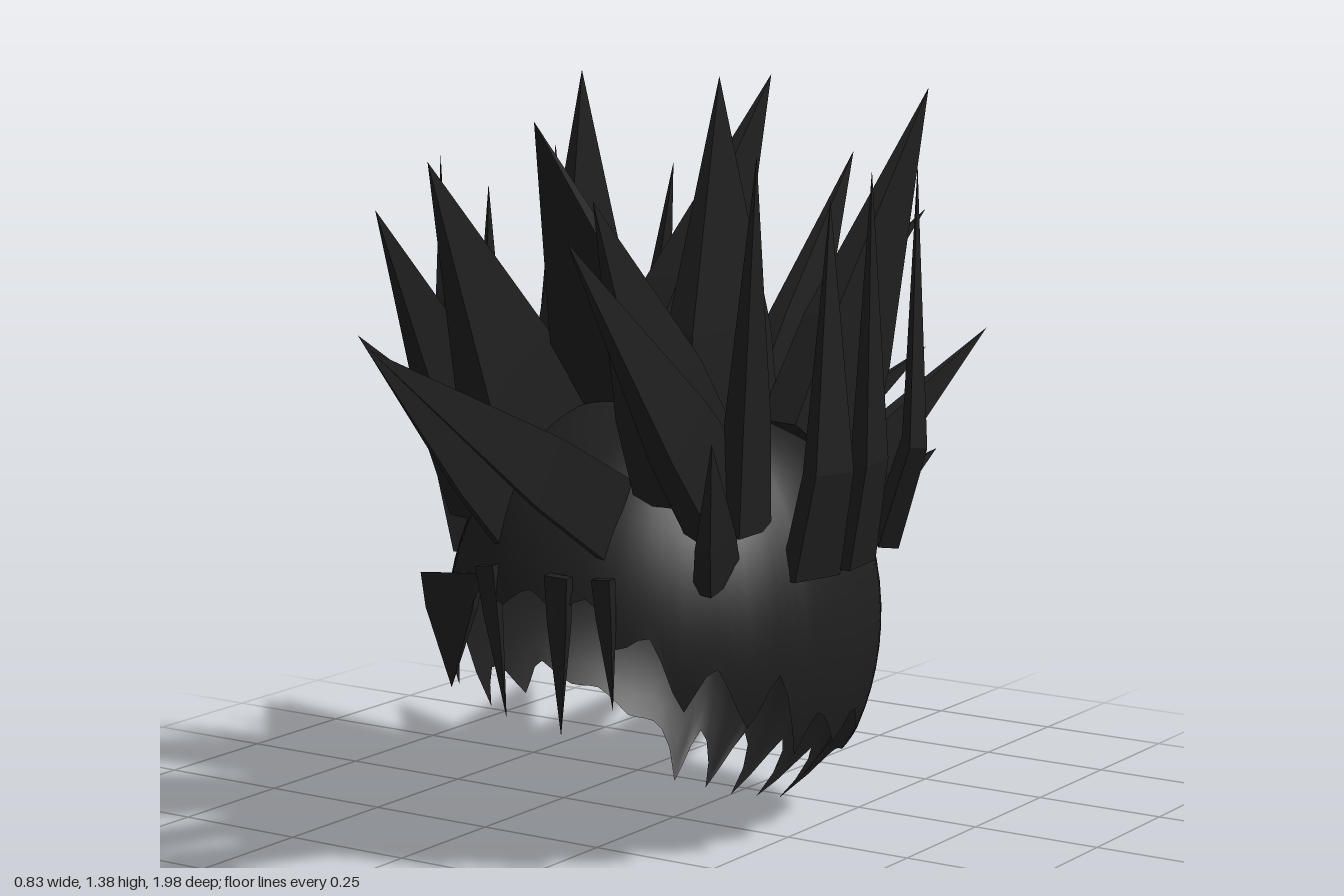
import * as THREE from 'three';

const hair = new THREE.MeshStandardMaterial({ color: 0x1f1f1f, side: THREE.DoubleSide });
const V = (p) => new THREE.Vector3(...p);

// Tapered flat lock: rectangular sections along base -> mid -> tip.
// 'wide' is the direction of the broad side, w its width, t its thickness.
function lock(base, tip, wide, w, t, mid) {
  const b = V(base), e = V(tip);
  const m = mid ? V(mid) : b.clone().lerp(e, 0.3);
  const dir = e.clone().sub(b).normalize();
  const u = V(wide).addScaledVector(dir, -V(wide).dot(dir)).normalize();
  const n = new THREE.Vector3().crossVectors(dir, u);
  const ring = (c, k) => [[-1, -1], [1, -1], [1, 1], [-1, 1]].map(([i, j]) =>
    c.clone().addScaledVector(u, i * w * k / 2).addScaledVector(n, j * t * k / 2));
  const r0 = ring(b, 0.95), r1 = ring(m, 0.8), pos = [];
  const tri = (...ps) => ps.forEach((p) => pos.push(p.x, p.y, p.z));
  for (let i = 0; i < 4; i++) {
    const j = (i + 1) % 4;
    tri(r0[i], r0[j], r1[j]);
    tri(r0[i], r1[j], r1[i]);
    tri(r1[i], r1[j], e);
  }
  tri(r0[0], r0[2], r0[1]);
  tri(r0[0], r0[3], r0[2]);
  const g = new THREE.BufferGeometry();
  g.setAttribute('position', new THREE.Float32BufferAttribute(pos, 3));
  g.computeVertexNormals();
  return g;
}

// Hairline height and tooth depth against the angle from the front (0) to the back (180)
const hairline = [[0, 0.53, 0.02], [20, 0.52, 0.04], [40, 0.43, 0.10], [60, 0.37, 0.09], [76, 0.37, 0.16],
  [86, 0.27, 0.06], [100, 0.27, 0.06], [111, 0.23, 0.02], [139, 0.12, 0.02], [146, 0.11, 0.08], [180, 0.11, 0.09]];
function hairlineAt(deg) {
  const i = Math.max(1, hairline.findIndex(([a]) => deg <= a));
  const [a0, y0, d0] = hairline[i - 1], [a1, y1, d1] = hairline[i];
  const f = (deg - a0) / (a1 - a0);
  return [y0 + (y1 - y0) * f, d0 + (d1 - d0) * f];
}

// Open rounded shell with a ragged lower edge
function capGeometry() {
  const cols = 126, rows = 20, pos = [], idx = [];
  for (let c = 0; c <= cols; c++) {
    const a = (c / cols) * Math.PI * 2;
    const deg = 180 - Math.abs(180 - (c / cols) * 360);
    const tooth = [0, 0.3, 0.7, 1, 0.6, 0.2][c % 6];
    const [y, depth] = hairlineAt(deg);
    const end = Math.acos((y - tooth * depth - 0.4) / 0.42);
    for (let r = 0; r <= rows; r++) {
      const p = end * r / rows, s = Math.sin(p) ** 0.82;
      pos.push(0.375 * s * Math.sin(a), 0.4 + 0.42 * Math.cos(p), 0.025 + 0.445 * s * Math.cos(a));
      if (c < cols && r < rows) {
        const i = c * (rows + 1) + r, j = i + rows + 1;
        idx.push(i, i + 1, j + 1, i, j + 1, j);
      }
    }
  }
  const g = new THREE.BufferGeometry();
  g.setAttribute('position', new THREE.Float32BufferAttribute(pos, 3));
  g.setIndex(idx);
  g.computeVertexNormals();
  return g;
}

export function createModel() {
  const model = new THREE.Group();
  const cap = new THREE.Mesh(capGeometry(), hair);
  cap.name = 'hairCap';
  model.add(cap);

  const addLocks = (name, list) => {
    const group = new THREE.Group();
    group.name = name;
    list.forEach((args, i) => {
      const m = new THREE.Mesh(lock(...args), hair);
      m.name = name + (i + 1);
      group.add(m);
    });
    model.add(group);
  };
  const X = [1, 0, 0], Y = [0, 1, 0], Z = [0, 0, 1];

  // Broad upright spikes along the top of the head
  addLocks('crestSpike', [
    [[0.15, 0.76, 0.08], [0.13, 1.40, 0.05], Z, 0.32, 0.07],
    [[-0.23, 0.69, -0.06], [-0.25, 1.39, -0.07], Z, 0.30, 0.08],
    [[0.02, 0.81, 0.08], [0, 1.34, 0.43], X, 0.30, 0.06, [0, 0.94, 0.20]],
    [[0.21, 0.71, -0.14], [0.24, 1.35, -0.50], Z, 0.30, 0.08],
    [[-0.13, 0.76, -0.14], [-0.12, 1.36, -0.52], Z, 0.30, 0.09],
    [[-0.17, 0.73, 0.20], [-0.16, 1.27, 0.52], Z, 0.26, 0.09],
    [[0.17, 0.73, 0.22], [0.17, 1.22, 0.50], Z, 0.24, 0.08],
    [[0.25, 0.66, 0.22], [0.23, 1.17, 0.66], Z, 0.18, 0.06],
    [[-0.25, 0.66, 0.22], [-0.22, 1.19, 0.59], Z, 0.20, 0.07],
    [[-0.23, 0.67, -0.22], [-0.21, 1.22, -0.52], Z, 0.20, 0.07],
    [[0.14, 0.73, -0.24], [0.17, 1.22, -0.50], Z, 0.20, 0.07],
    [[0.05, 0.74, -0.24], [0.0, 1.21, -0.63], Z, 0.18, 0.05],
  ]);

  // Narrow spikes rising from the temples: side, depth, tip height
  addLocks('sideSpike', [
    [1, 0.09, 1.20], [1, -0.05, 1.24], [1, -0.27, 1.23],
    [-1, 0.20, 1.25], [-1, 0.04, 1.18], [-1, -0.17, 1.24],
  ].map(([s, z, h]) => {
    const k = Math.sqrt(1 - (z / 0.46) ** 2);
    const out = Math.min(0.385, 0.14 + 0.26 * k);
    return [[s * 0.355 * k, 0.53, z], [s * out, h, z], [-s * z * 0.9, 0, 0.37 * k], 0.12, 0.04, [s * out, 0.72, z]];
  }).concat([
    [[0.28, 0.62, 0.20], [0.31, 1.28, 0.21], Z, 0.11, 0.05],
    [[-0.26, 0.58, -0.26], [-0.22, 1.20, -0.33], Z, 0.12, 0.05],
    [[0.27, 0.54, 0.27], [0.31, 0.80, 0.35], Z, 0.10, 0.04],
  ]));

  // Long spikes thrown forward and back
  addLocks('frontSpike', [
    [[0.12, 0.65, 0.36], [0.08, 1.02, 0.99], Y, 0.16, 0.014],
    [[-0.11, 0.65, 0.36], [0, 1.03, 0.92], Y, 0.16, 0.012],
  ]);
  addLocks('backSpike', [
    [[-0.08, 0.66, -0.31], [-0.01, 1.07, -0.93], Y, 0.17, 0.05],
    [[0.10, 0.55, -0.35], [0.10, 0.83, -0.99], Y, 0.14, 0.04],
    [[-0.09, 0.53, -0.35], [-0.04, 0.78, -0.99], Y, 0.13, 0.05],
    [[0.08, 0.46, -0.36], [0.01, 0.58, -0.95], Y, 0.16, 0.05],
    [[-0.10, 0.40, -0.36], [-0.04, 0.49, -0.92], Y, 0.18, 0.05],
  ]);

  // Fringe hanging over the forehead
  addLocks('fringeLock', [
    [[-0.20, 0.53, 0.41], [-0.18, 0.33, 0.44], X, 0.13, 0.02],
    [[-0.10, 0.56, 0.44], [-0.06, 0.29, 0.44], X, 0.04, 0.02],
    [[0.06, 0.56, 0.45], [0.05, 0.27, 0.43], X, 0.05, 0.02],
    [[0.14, 0.56, 0.43], [0.16, 0.33, 0.43], X, 0.04, 0.02],
  ]);
  return model;
}
